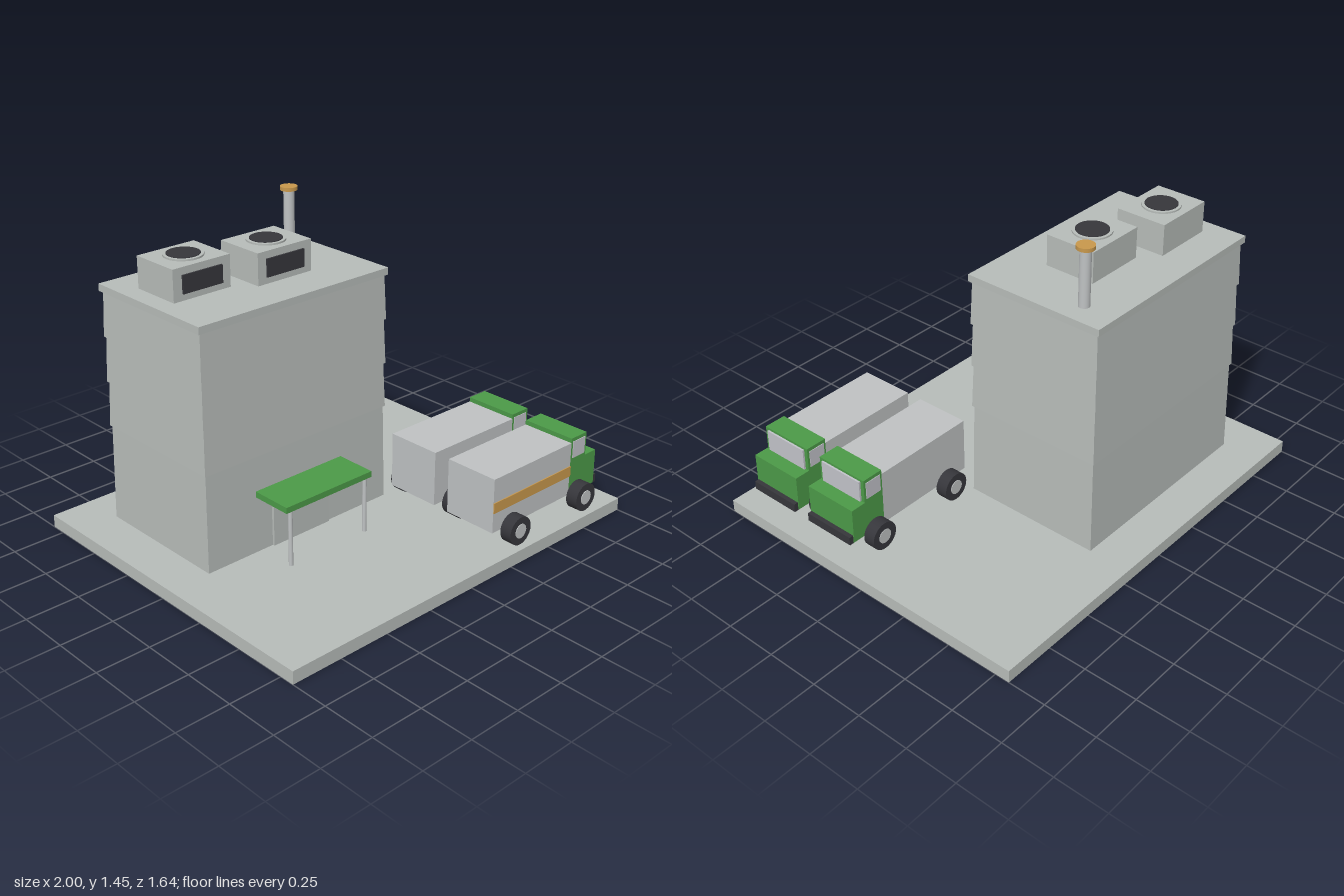
import * as THREE from 'three';

const mat = (name, color, extra = {}) => Object.assign(new THREE.MeshStandardMaterial({ color, ...extra }), { name });

export function createModel() {
  const concrete = mat('concrete grey', 0xb7bcb9);
  const metal = mat('pale metal', 0xbfc2c3);
  const glass = mat('pale glass', 0xc2c3c9);
  const green = mat('green paint', 0x4c9a48);
  const dark = mat('dark rubber', 0x36363b);
  const tan = mat('tan paint', 0xc8984c);

  const model = new THREE.Group();
  model.name = 'depotBuilding';

  // Box given by its minimum and maximum corners
  function box(parent, name, material, [x0, x1], [y0, y1], [z0, z1]) {
    const mesh = new THREE.Mesh(new THREE.BoxGeometry(x1 - x0, y1 - y0, z1 - z0), material);
    mesh.position.set((x0 + x1) / 2, (y0 + y1) / 2, (z0 + z1) / 2);
    mesh.name = name;
    parent.add(mesh);
    return mesh;
  }

  // Upright cylinder standing between two heights
  function post(parent, name, material, r, x, z, y0, y1, sides = 24) {
    const mesh = new THREE.Mesh(new THREE.CylinderGeometry(r, r, y1 - y0, sides), material);
    mesh.position.set(x, (y0 + y1) / 2, z);
    mesh.name = name;
    parent.add(mesh);
    return mesh;
  }

  box(model, 'groundSlab', concrete, [-1, 1], [0, 0.06], [-0.82, 0.82]);

  // Wall bands, each leaning in slightly towards its top
  const levels = [0.06, 0.515, 0.725, 0.935, 1.142];
  for (let i = 0; i < levels.length - 1; i++) {
    const band = box(model, 'wallBand', concrete, [-0.798, 0.23], [levels[i], levels[i + 1]], [-0.618, 0.056]);
    const p = band.geometry.attributes.position;
    for (let v = 0; v < p.count; v++) {
      if (p.getY(v) > 0) {
        p.setX(v, p.getX(v) - Math.sign(p.getX(v)) * 0.007);
        p.setZ(v, p.getZ(v) - Math.sign(p.getZ(v)) * 0.007);
      }
    }
    band.geometry.computeVertexNormals();
  }
  box(model, 'roofSlab', concrete, [-0.803, 0.235], [1.142, 1.175], [-0.625, 0.06]);

  // Rooftop cooling units
  for (const [x, z] of [[-0.567, -0.337], [-0.185, -0.26]]) {
    const unit = new THREE.Group();
    unit.name = 'coolingUnit';
    unit.position.set(x, 1.175, z);
    box(unit, 'unitCasing', concrete, [-0.148, 0.148], [0, 0.145], [-0.122, 0.122]);
    box(unit, 'unitGrille', dark, [-0.103, 0.103], [0.03, 0.112], [0.122, 0.13]);
    post(unit, 'fanRing', concrete, 0.087, 0, 0, 0.145, 0.153, 32);
    post(unit, 'fanOpening', dark, 0.073, 0, 0, 0.148, 0.156, 32);
    model.add(unit);
  }

  // Exhaust stack
  post(model, 'stackPipe', metal, 0.025, 0.125, -0.465, 1.175, 1.437);
  post(model, 'stackCap', tan, 0.04, 0.125, -0.465, 1.435, 1.452);

  // Entrance canopy and door
  box(model, 'canopyRoof', green, [-0.53, -0.04], [0.323, 0.351], [0.05, 0.25]);
  for (const x of [-0.498, -0.068]) post(model, 'canopyPost', metal, 0.01, x, 0.236, 0.06, 0.323, 12);
  box(model, 'entranceDoor', concrete, [-0.445, -0.125], [0.06, 0.285], [0.04, 0.066]);

  // Delivery truck, facing +x
  function truck(z, striped) {
    const g = new THREE.Group();
    g.name = 'truck';
    g.position.z = z;
    const w = 0.133;
    box(g, 'cargoBody', metal, [0.22, 0.735], [0.14, 0.4], [-w, w]);
    if (striped) box(g, 'cargoStripe', tan, [0.22, 0.735], [0.237, 0.286], [w, w + 0.005]);
    box(g, 'cabHood', green, [0.735, 0.915], [0.14, 0.308], [-w, w]);
    box(g, 'cabTop', green, [0.735, 0.84], [0.308, 0.422], [-w, w]);
    box(g, 'windscreen', glass, [0.84, 0.849], [0.31, 0.411], [-0.114, 0.114]);
    box(g, 'bumper', dark, [0.91, 0.936], [0.136, 0.176], [-0.129, 0.129]);
    for (const side of [-1, 1]) {
      const window = box(g, 'sideWindow', glass, [0.746, 0.829], [0.323, 0.405], [-0.002, 0.002]);
      window.position.z = side * (w + 0.001);
      for (const x of [0.34, 0.79]) {
        const wheel = new THREE.Group();
        wheel.name = 'wheel';
        wheel.position.set(x, 0.13, side * (w + 0.03));
        wheel.rotation.x = side * Math.PI / 2;
        post(wheel, 'tyre', dark, 0.067, 0, 0, -0.03, 0.028, 28);
        post(wheel, 'hub', metal, 0.034, 0, 0, 0.024, 0.031, 24);
        g.add(wheel);
      }
    }
    model.add(g);
  }
  truck(0.598, true);
  truck(0.252, false);

  return model;
}
